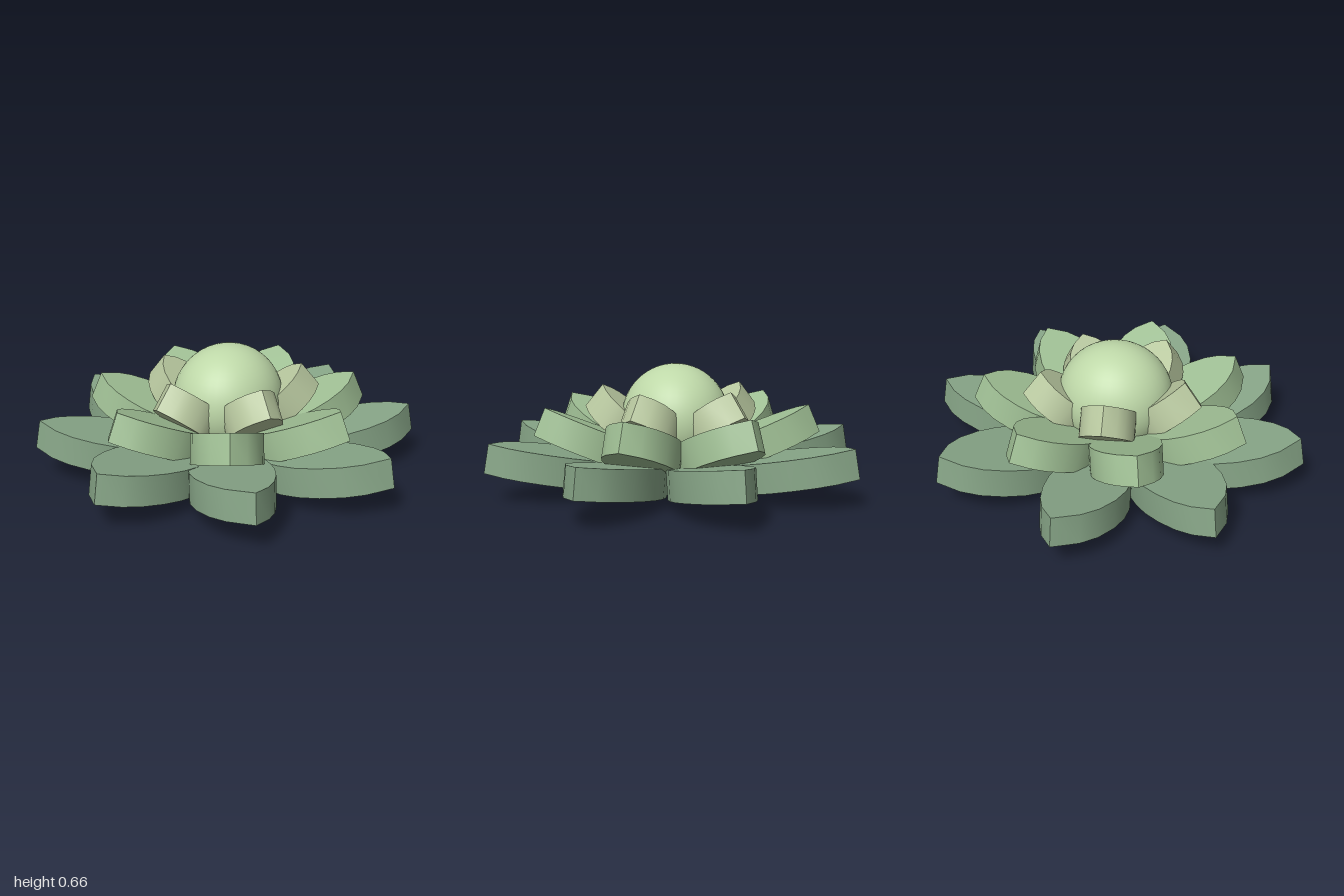
import * as THREE from 'three';
import { toCreasedNormals } from 'three/addons/utils/BufferGeometryUtils.js';

// Petal outline: [fraction of length, fraction of half width]
const OUTLINE = [[0.04, 0.28], [0.14, 0.6], [0.28, 0.86], [0.42, 0.98], [0.54, 1], [0.67, 0.92], [0.8, 0.74], [0.9, 0.48]];
const THICKNESS = 0.15;

// Thick leaf-shaped slab pointing along +z, standing on y = 0
function petalGeometry(length, left, right) {
  const shape = new THREE.Shape();
  shape.moveTo(0, 0);
  for (const [u, w] of OUTLINE) shape.lineTo(left * w, length * u);
  shape.lineTo(0, length);
  for (const [u, w] of [...OUTLINE].reverse()) shape.lineTo(-right * w, length * u);
  shape.closePath();
  const geo = new THREE.ExtrudeGeometry(shape, { depth: THICKNESS, bevelEnabled: false });
  geo.rotateX(Math.PI / 2).translate(0, THICKNESS, 0);
  return toCreasedNormals(geo, 0.45);
}

// Ring of petals; each one rises outward from its base by the tilt
function petalRing(name, { count, start, tilt, radius, baseY, length, color, widths }) {
  const ring = new THREE.Group();
  ring.name = name + 's';
  const material = new THREE.MeshStandardMaterial({ color });
  for (let i = 0; i < count; i++) {
    const [left, right] = widths[i % widths.length];
    const geo = petalGeometry(length, left, right);
    geo.rotateX(-THREE.MathUtils.degToRad(tilt)).translate(0, baseY, radius);
    const petal = new THREE.Mesh(geo, material);
    petal.rotation.y = THREE.MathUtils.degToRad(start + (360 / count) * i);
    petal.name = name;
    ring.add(petal);
  }
  return ring;
}

export function createModel() {
  const flower = new THREE.Group();
  flower.name = 'flower';

  // Slightly irregular outer petals: left and right half widths
  flower.add(petalRing('outerPetal', {
    count: 8, start: 0, tilt: 10, radius: 0.17, baseY: 0, length: 0.843, color: 0x87a587,
    widths: [[0.16, 0.25], [0.16, 0.22], [0.165, 0.2], [0.22, 0.21], [0.24, 0.155], [0.235, 0.16], [0.2, 0.25], [0.15, 0.26]],
  }));
  flower.add(petalRing('middlePetal', {
    count: 7, start: 0, tilt: 23, radius: 0.15, baseY: 0.07, length: 0.648, color: 0xa0c095,
    widths: [[0.17, 0.19]],
  }));
  flower.add(petalRing('innerPetal', {
    count: 5, start: 45, tilt: 39, radius: 0.15, baseY: 0.163, length: 0.425, color: 0xb9c9a0,
    widths: [[0.14, 0.14]],
  }));

  // Rounded heart of the flower
  const heart = new THREE.Mesh(
    new THREE.SphereGeometry(1, 40, 28),
    new THREE.MeshStandardMaterial({ color: 0xbed8a8 }),
  );
  heart.name = 'heart';
  heart.scale.set(0.3, 0.29, 0.28);
  heart.position.y = 0.372;
  flower.add(heart);

  return flower;
}
